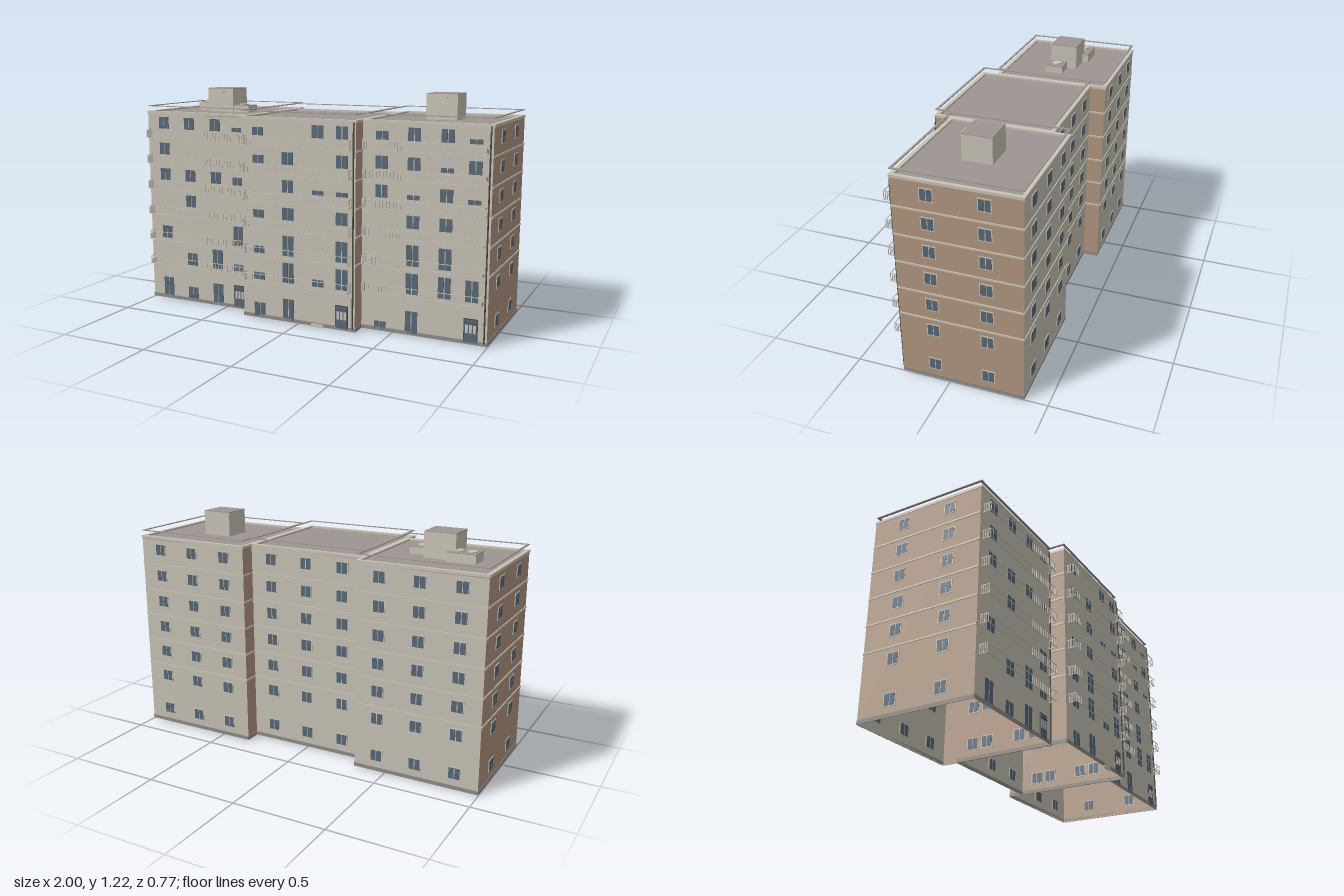
import * as THREE from 'three';

const mat = (name, color, side = THREE.FrontSide) => {
  const m = new THREE.MeshStandardMaterial({ color, side });
  m.name = name;
  return m;
};
const M = {
  wall: mat('beige wall', 0xc5c0b3, THREE.DoubleSide),
  brick: mat('tan side wall', 0xb0967f, THREE.DoubleSide),
  trim: mat('pale trim', 0xc9c3b5),
  glass: mat('blue grey glass', 0x566876),
  roof: mat('roof grey', 0x9d9591, THREE.DoubleSide),
  plinth: mat('plinth grey', 0x8f8a84),
  metal: mat('dark metal', 0x4c4a46),
};
const BOX = new THREE.BoxGeometry(1, 1, 1);

// Box given by its low and high corners
function box(parent, name, m, x0, x1, y0, y1, z0, z1) {
  const b = new THREE.Mesh(BOX, m);
  b.name = name;
  b.scale.set(x1 - x0, y1 - y0, z1 - z0);
  b.position.set((x0 + x1) / 2, (y0 + y1) / 2, (z0 + z1) / 2);
  parent.add(b);
  return b;
}

const BASE = 0.005, TOP = 1.09, DEPTH = 0.63, STOREY = 0.146;
const sillY = i => (i === 0 ? 0.06 : 0.262 + (i - 1) * STOREY);

// One wall with local x along it and local z pointing outwards
function face(parent, name, m, width, x, z, turn) {
  const g = new THREE.Group();
  g.name = name;
  g.position.set(x, 0, z);
  g.rotation.y = turn;
  const w = new THREE.Mesh(new THREE.PlaneGeometry(width, TOP - BASE), m);
  w.name = name + 'Panel';
  w.position.y = (TOP + BASE) / 2;
  g.add(w);
  box(g, 'plinth', M.plinth, -width / 2, width / 2, BASE, 0.024, 0, 0.003);
  parent.add(g);
  return g;
}

// Framed two-pane window, showing on both sides of the wall
function framedWindow(g, x, y) {
  box(g, 'windowFrame', M.trim, x - 0.034, x + 0.034, y - 0.003, y + 0.064, -0.003, 0.003);
  for (const s of [-1, 1])
    box(g, 'windowPane', M.glass, x + s * 0.0155 - 0.0135, x + s * 0.0155 + 0.0135, y + 0.002, y + 0.059, -0.004, 0.004);
}

// Storey bands and regular windows for the side and back walls
function plainWall(g, width, columns) {
  for (let i = 0; i < 7; i++) {
    columns.forEach(x => framedWindow(g, x, sillY(i)));
    if (i > 1) box(g, 'storeyBand', M.trim, -width / 2, width / 2, 0.205 + i * STOREY - 0.146, 0.213 + i * STOREY - 0.146 + 0.001, 0, 0.004)
      .position.y = 0.355 + (i - 2) * STOREY;
  }
}

// Irregular front windows: F full, M medium, S small, D door, - none
const SIZE = { F: 1, M: 0.65, S: 0.35 };
function frontWall(g, columns, rows) {
  rows.forEach((row, i) => {
    const floor = i === 0 ? 0.015 : 0.22 + (i - 1) * 0.146;
    const y0 = i < 3 ? floor : floor + 0.047;
    const full = i === 0 ? 0.115 : i < 3 ? 0.108 : 0.065;
    columns.forEach((x, k) => {
      const c = row[k];
      if (c === 'D') return door(g, x);
      for (const s of [-1, 1]) {
        const px = x + s * 0.0175;
        box(g, 'innerPane', M.glass, px - 0.015, px + 0.015, floor, floor + 0.108, -0.004, -0.001);
        if (SIZE[c]) box(g, 'frontPane', M.glass, px - 0.015, px + 0.015, y0, y0 + full * SIZE[c], -0.003, 0.003);
      }
    });
  });
}

function door(g, x) {
  box(g, 'doorFrame', M.metal, x - 0.036, x + 0.036, 0.015, 0.137, -0.003, 0.003);
  box(g, 'doorLeaf', M.glass, x - 0.032, x + 0.032, 0.015, 0.132, -0.004, 0.004);
  for (const s of [-1, 0, 1])
    box(g, 'doorPanel', M.trim, x + s * 0.02 - 0.007, x + s * 0.02 + 0.007, 0.062, 0.105, 0, 0.005);
  box(g, 'doorCrossbar', M.metal, x - 0.032, x + 0.032, 0.112, 0.116, 0, 0.006);
}

// Open railing frame, with bars on part of the front and on both ends
function balcony(g, x0, x1, y, b0, b1) {
  const h = 0.047, d = 0.047, t = 0.003;
  for (const yy of [y, y + h - t]) {
    box(g, 'balconyRail', M.trim, x0, x1, yy, yy + t, d - t, d);
    for (const x of [x0, x1 - t]) box(g, 'balconyEndRail', M.trim, x, x + t, yy, yy + t, 0, d);
  }
  for (const x of [x0, x1 - t]) {
    for (let k = 1; k <= 5; k++) {
      const z = k * d / 5 - t;
      box(g, 'balconyEndBar', M.trim, x, x + t, y, y + h, z, z + t);
    }
  }
  const n = Math.round((b1 - b0) / 0.018);
  for (let k = 0; k <= n; k++) {
    const x = b0 + (b1 - b0) * k / n;
    box(g, 'balconyBar', M.trim, x - 0.001, x + 0.001, y, y + h, d - t, d);
  }
}

function pipe(g, x) {
  const path = new THREE.CatmullRomCurve3([
    [x, 0.02, 0.007], [x, 0.5, 0.007], [x, 1.04, 0.007], [x, 1.06, 0.008], [x, 1.085, 0.001],
  ].map(p => new THREE.Vector3(...p)));
  const p = new THREE.Mesh(new THREE.TubeGeometry(path, 24, 0.004, 6), M.metal);
  p.name = 'drainpipe';
  g.add(p);
}

// Border of four strips around a rectangle
function border(g, name, m, w, d, t, y0, y1) {
  for (const s of [-1, 1]) {
    box(g, name, m, -w / 2, w / 2, y0, y1, s * (d / 2 - t / 2) - t / 2, s * (d / 2 - t / 2) + t / 2);
    box(g, name, m, s * (w / 2 - t / 2) - t / 2, s * (w / 2 - t / 2) + t / 2, y0, y1, -d / 2 + t, d / 2 - t);
  }
}

function wing({ name, cx, cz, width, columns, rows, bars, pipeX }) {
  const g = new THREE.Group();
  g.name = name;
  g.position.set(cx, 0, cz);
  const w = width / 2, d = DEPTH / 2;
  const front = face(g, 'frontWall', M.wall, width, 0, d, 0);
  frontWall(front, columns.map(x => x - cx), rows);
  for (let i = 0; i < 6; i++)
    balcony(front, -w + 0.02, w - 0.02, 0.215 + i * 0.1465, bars[0] - cx, bars[1] - cx);
  pipe(front, pipeX - cx);
  plainWall(face(g, 'backWall', M.wall, width, 0, -d, Math.PI), width, [-0.21, 0, 0.21]);
  for (const s of [-1, 1])
    plainWall(face(g, s > 0 ? 'leftWall' : 'rightWall', M.brick, DEPTH, s * w, 0, s * Math.PI / 2),
      DEPTH, [s * -0.14, s * 0.135]);
  // Flat roof, parapet edge and raised strip above it
  box(g, 'roof', M.roof, -w, w, 1.076, 1.084, -d, d);
  border(g, 'parapet', M.trim, width + 0.006, DEPTH + 0.006, 0.02, 1.08, 1.094);
  border(g, 'roofRail', M.roof, width, DEPTH, 0.012, 1.12, 1.124);
  return g;
}

// Rooftop box with a grey lid
function roofBox(g, name, x0, x1, top, z0, z1) {
  box(g, name, M.trim, x0, x1, 1.08, top - 0.003, z0, z1);
  box(g, name + 'Lid', M.roof, x0, x1, top - 0.003, top, z0, z1);
}

function vent(g, x, y, z) {
  const v = new THREE.Mesh(new THREE.CylinderGeometry(0.025, 0.025, 0.008, 20), M.trim);
  v.name = 'roofVent';
  v.position.set(x, y, z);
  g.add(v);
}

export function createModel() {
  const model = new THREE.Group();
  model.name = 'apartmentBlock';
  // Front window rows run from the ground up
  model.add(
    wing({ name: 'rightWing', cx: -0.664, cz: -0.065, width: 0.668, columns: [-0.89, -0.72, -0.55, -0.41],
      rows: ['FMFD', '-MFS', 'M--F', '-F--', 'FFFM', 'F---', 'FFFS'], bars: [-0.59, -0.352], pipeX: -0.345 }),
    wing({ name: 'middleWing', cx: 0, cz: 0.02, width: 0.66, columns: [-0.23, -0.055, 0.12, 0.255],
      rows: ['MF-D', 'SFSF', 'SF-F', 'MF-F', '-FSS', 'MF-F', 'M-FF'], bars: [-0.312, -0.25], pipeX: 0.32 }),
    wing({ name: 'leftWing', cx: 0.664, cz: -0.065, width: 0.668, columns: [0.435, 0.605, 0.775, 0.915],
      rows: ['SF-D', '-FFF', '-FF-', '-FF-', 'FSFS', 'FFSF', 'MFFS'], bars: [0.348, 0.59], pipeX: 0.985 }),
  );
  // Stair heads with a small canopy
  const roofTop = new THREE.Group();
  roofTop.name = 'rooftopStructures';
  for (const s of [-1, 1]) {
    const x = s * 0.6625;
    roofBox(roofTop, 'stairHead', x - 0.083, x + 0.083, 1.218, -0.14, 0.012);
    box(roofTop, 'canopy', M.trim, x - 0.03, x + 0.03, 1.194, 1.199, 0.012, 0.035);
  }
  // Vent housings
  roofBox(roofTop, 'largeVentHousing', -0.86, -0.71, 1.132, -0.175, -0.062);
  roofBox(roofTop, 'smallVentHousing', -0.585, -0.48, 1.124, -0.085, 0.01);
  vent(roofTop, -0.825, 1.134, -0.12);
  vent(roofTop, -0.757, 1.134, -0.12);
  vent(roofTop, -0.535, 1.126, -0.037);
  model.add(roofTop);
  // Entrance step
  box(model, 'entranceStep', M.trim, 0.08, 0.15, 0, 0.02, 0.33, 0.34);
  return model;
}
